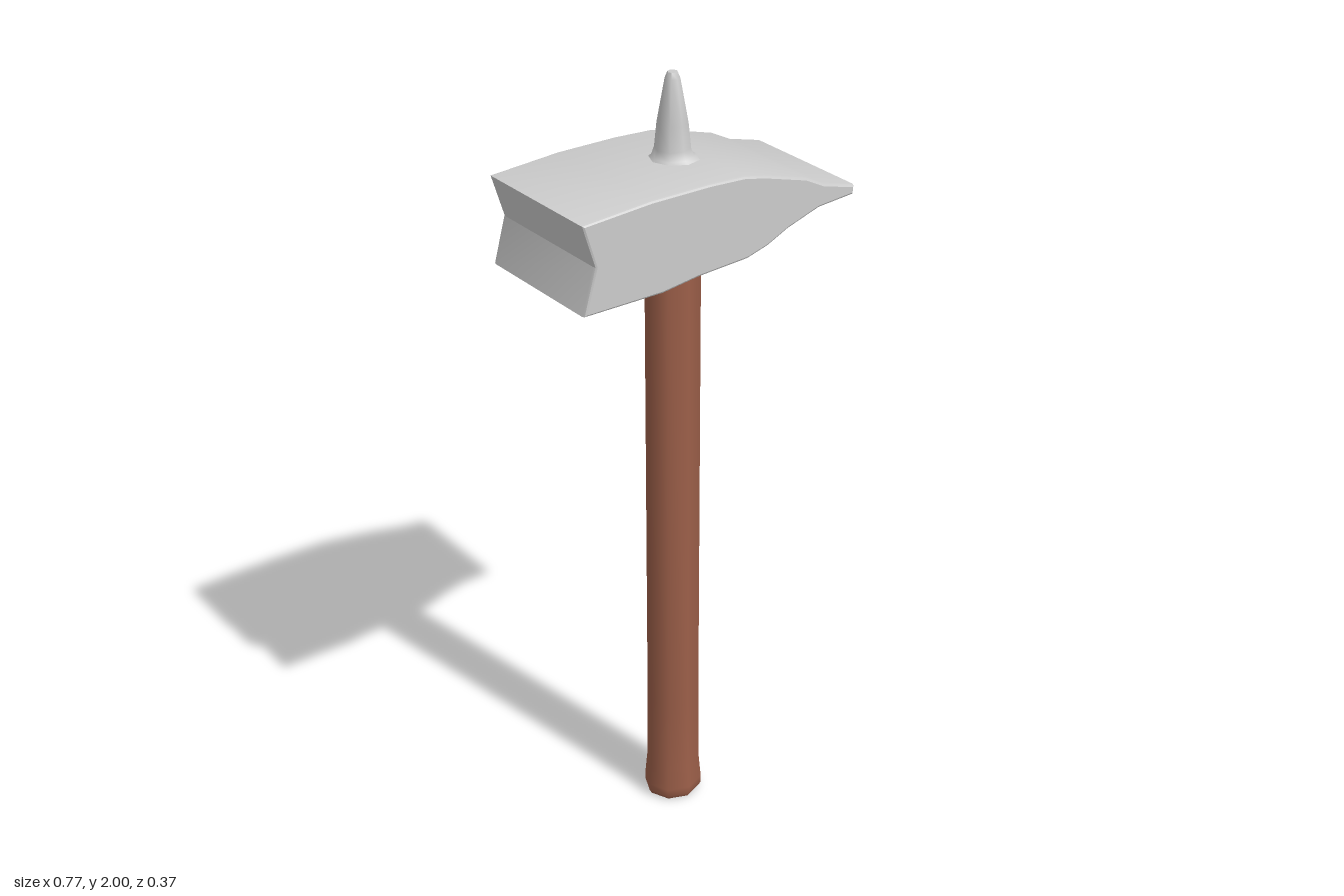
import * as THREE from 'three';
import { toCreasedNormals } from 'three/addons/utils/BufferGeometryUtils.js';

const AXIS_X = -0.008;
const steel = new THREE.MeshStandardMaterial({ color: 0xcccccc });
const wood = new THREE.MeshStandardMaterial({ color: 0x9c5f49 });

const points = (pairs) => pairs.map(([x, y]) => new THREE.Vector2(x, y));

// Eight-sided turned part around the handle axis, profile from bottom to top
function turned(name, profile, material, depthScale = 1) {
  const geometry = new THREE.LatheGeometry(points(profile), 8);
  geometry.scale(1, 1, depthScale);
  const mesh = new THREE.Mesh(toCreasedNormals(geometry, 0.9), material);
  mesh.name = name;
  mesh.position.x = AXIS_X;
  return mesh;
}

// Side profile with a notched striking face and a wedge peen, bevelled at both sides
function hammerHead() {
  const halfDepth = 0.185, bevel = 0.009;
  const outline = new THREE.Shape(points([
    [-0.385, 1.565], [-0.17, 1.565], [-0.07, 1.578], [0.07, 1.586],
    [0.13, 1.603], [0.19, 1.631], [0.28, 1.66], [0.385, 1.668],
    [0.387, 1.692], [0.295, 1.716], [0.24, 1.744], [0.12, 1.778],
    [0.06, 1.791], [-0.04, 1.796], [-0.2, 1.796], [-0.387, 1.783],
    [-0.354, 1.677],
  ]));
  const geometry = new THREE.ExtrudeGeometry(outline, {
    depth: 2 * (halfDepth - bevel),
    bevelEnabled: true,
    bevelThickness: bevel,
    bevelSize: 0.006,
    bevelOffset: -0.006,
    bevelSegments: 2,
  });
  geometry.translate(0, 0, bevel - halfDepth);
  const mesh = new THREE.Mesh(toCreasedNormals(geometry, 0.48), steel);
  mesh.name = 'hammerHead';
  return mesh;
}

export function createModel() {
  const group = new THREE.Group();
  group.name = 'warHammer';

  // Wooden shaft with a flared butt
  group.add(turned('handle', [
    [0, 0], [0.07, 0.003], [0.077, 0.015], [0.077, 0.035], [0.071, 0.1],
    [0.069, 0.3], [0.069, 1.6], [0, 1.6],
  ], wood, 0.94));

  group.add(hammerHead());

  // Collar flaring into the underside of the head
  group.add(turned('collar', [
    [0.066, 1.545], [0.071, 1.545], [0.074, 1.56], [0.085, 1.572], [0.115, 1.592],
  ], steel));

  // Tapered spike on top
  group.add(turned('topSpike', [
    [0.075, 1.785], [0.05, 1.8], [0.043, 1.82], [0.037, 1.88],
    [0.018, 1.985], [0.012, 2.0], [0, 2.0],
  ], steel));

  return group;
}
